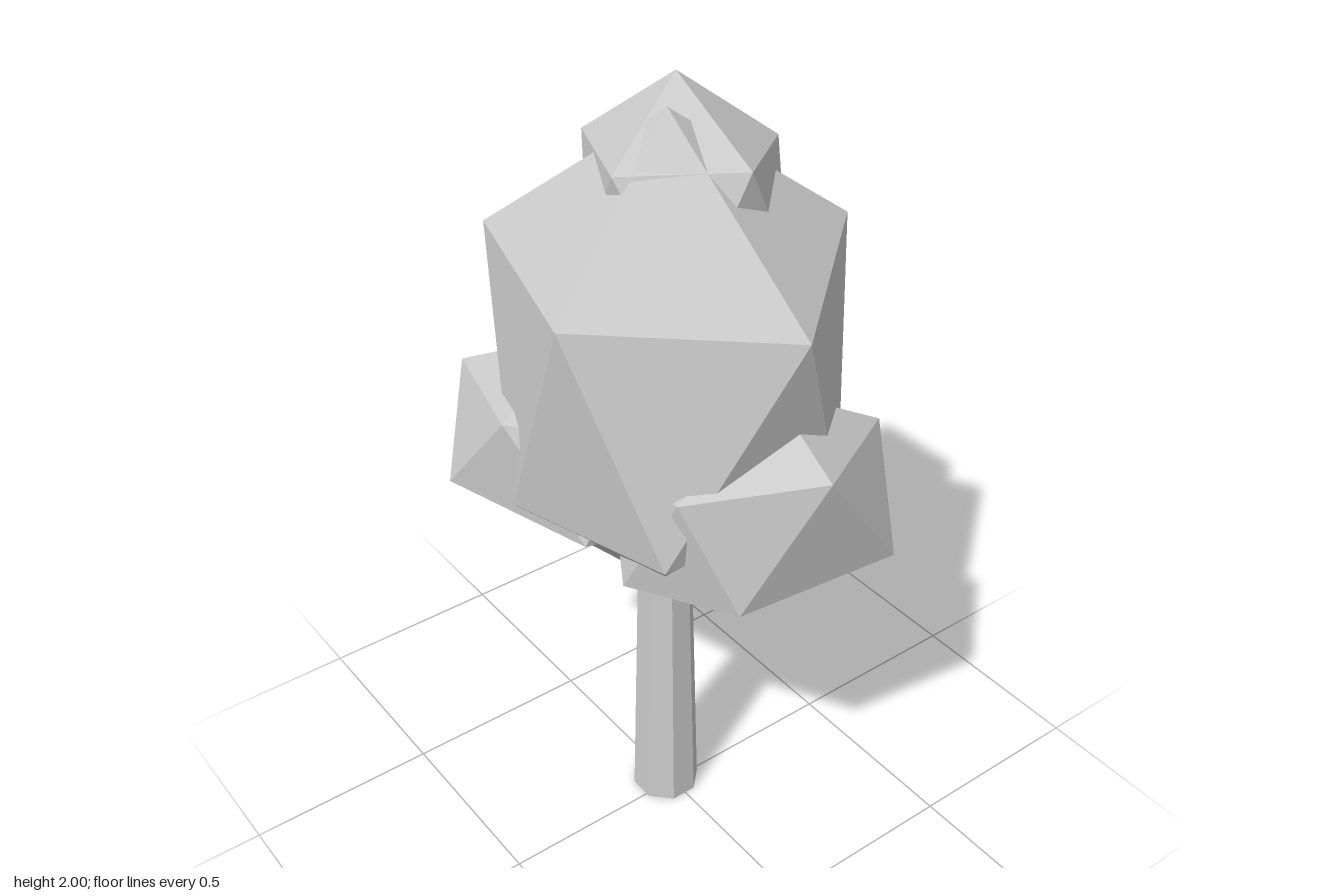
import * as THREE from 'three';
import { ConvexGeometry } from 'three/addons/geometries/ConvexGeometry.js';

const material = new THREE.MeshStandardMaterial({ color: 0xcccccc, flatShading: true });

// Faceted leaf clump: convex skin over its corner points
function clump(name, corners) {
  const points = corners.map((c) => new THREE.Vector3(...c));
  const mesh = new THREE.Mesh(new ConvexGeometry(points), material);
  mesh.name = name;
  return mesh;
}

// Adds the opposite corner of every given corner, mirrored through the centre
function withOpposites(centre, corners) {
  return [...corners, ...corners.map((c) => c.map((v, i) => 2 * centre[i] - v))];
}

export function createModel() {
  const tree = new THREE.Group();
  tree.name = 'tree';

  // Tapered eight-sided trunk, running up into the crown
  const trunkHeight = 0.85;
  const trunk = new THREE.Mesh(
    new THREE.CylinderGeometry(0.067, 0.089, trunkHeight, 8).rotateY(Math.PI / 8), material);
  trunk.position.set(-0.023, trunkHeight / 2, 0.005);
  trunk.name = 'trunk';
  tree.add(trunk);

  // Main crown: apex, upper ring, lower ring, base
  tree.add(clump('mainCrown', [
    [0.01, 1.97, 0.02],
    [0.11, 1.61, 0.38], [0.42, 1.58, -0.04], [0.10, 1.64, -0.42],
    [-0.39, 1.62, -0.19], [-0.41, 1.61, 0.23],
    [0.30, 1.04, 0.245], [0.33, 1.07, -0.23], [-0.11, 1.08, -0.39],
    [-0.475, 1.06, -0.05], [-0.12, 1.04, 0.37],
    [-0.03, 0.68, 0.0],
  ]));

  // Small clump on top, towards the back
  tree.add(clump('topClump', withOpposites([-0.065, 1.72, -0.08], [
    [-0.08, 2.0, -0.07],
    [-0.315, 1.86, -0.26], [-0.01, 1.82, -0.30], [0.175, 1.86, -0.075],
    [0.02, 1.86, 0.17], [-0.28, 1.83, 0.04],
  ])));

  // Low clump at the front, on the right-hand side of the tree
  tree.add(clump('rightClump', withOpposites([-0.2, 1.085, 0.13], [
    [-0.34, 1.0, 0.415],
    [-0.475, 1.23, 0.28], [-0.13, 1.26, 0.38], [0.07, 1.0, 0.30],
    [-0.20, 0.80, 0.15], [-0.495, 0.93, 0.10],
  ])));

  // Low clump on the left-hand side of the tree
  tree.add(clump('leftClump', withOpposites([0.225, 1.06, -0.06], [
    [0.49, 1.26, -0.06],
    [0.47, 0.95, -0.29], [0.41, 0.93, 0.12], [0.31, 1.22, 0.22],
    [0.27, 1.38, -0.07], [0.305, 1.21, -0.37],
  ])));

  return tree;
}
